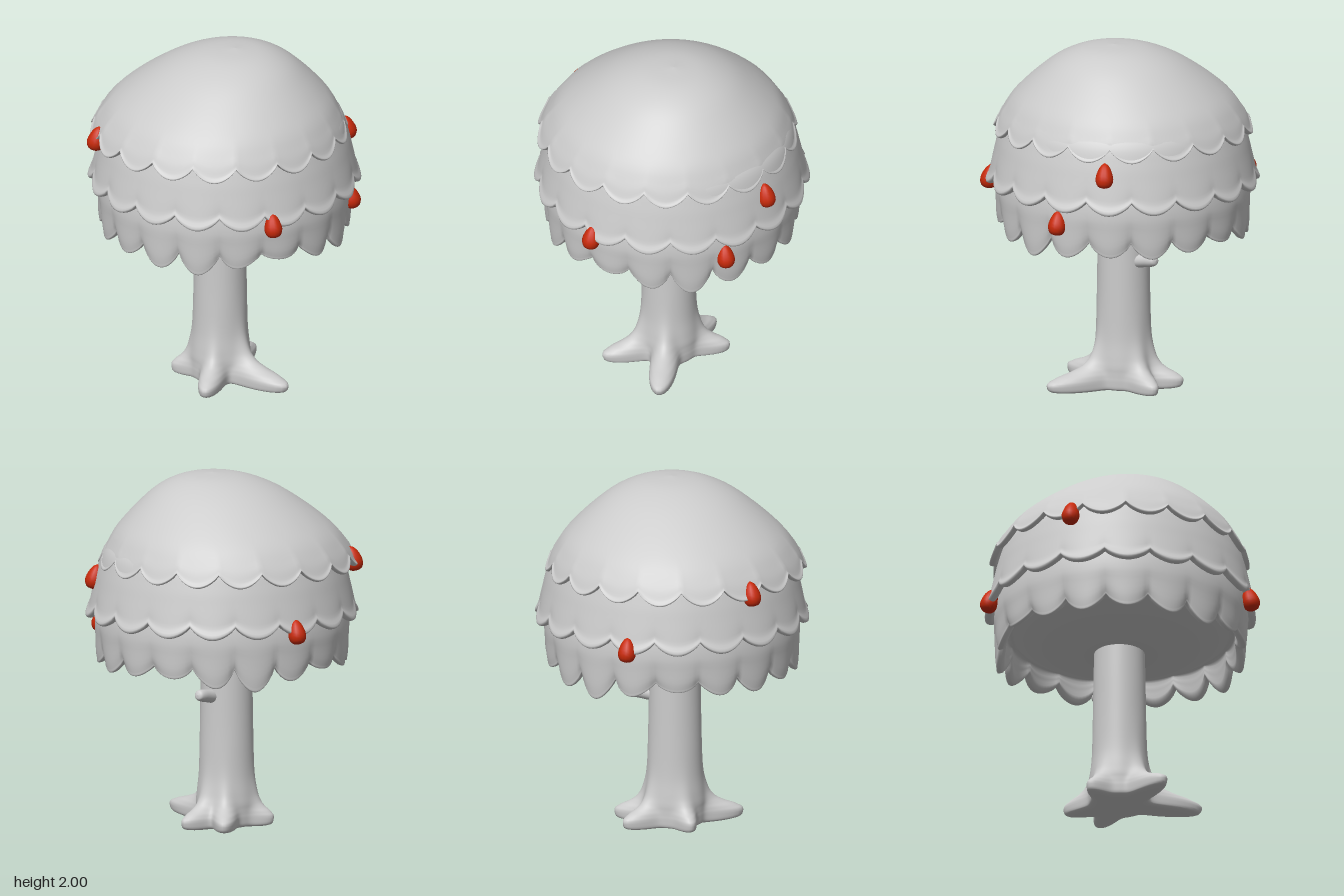
import * as THREE from 'three';

const grey = new THREE.MeshStandardMaterial({ color: 0xcccccc });
const red = new THREE.MeshStandardMaterial({ color: 0xc82a0a });

// Smooth surface of closed rings; place(t, angle) gives a point, t runs from top to bottom
function loft(rows, cols, place) {
  const pos = [], index = [];
  for (let i = 0; i <= rows; i++) {
    for (let j = 0; j < cols; j++) {
      pos.push(...place(i / rows, (j / cols) * Math.PI * 2));
      if (i === rows) continue;
      const a = i * cols + j, b = i * cols + ((j + 1) % cols);
      index.push(a, b, a + cols, b, b + cols, a + cols);
    }
  }
  const geo = new THREE.BufferGeometry();
  geo.setAttribute('position', new THREE.Float32BufferAttribute(pos, 3));
  geo.setIndex(index);
  geo.computeVertexNormals();
  return geo;
}

function mesh(name, geo, material = grey) {
  const m = new THREE.Mesh(geo, material);
  m.name = name;
  return m;
}

const curve = (points) =>
  new THREE.CatmullRomCurve3(points.map((p) => new THREE.Vector3(...p)), false, 'centripetal');

// Foliage tier with a scalloped hem: profile points are [radius, height, hem weight]
function tier(name, { profile, rows, phase, depth, vary = 0, shift = () => [0, 0] }) {
  const path = curve(profile);
  const geo = loft(rows, 216, (t, a) => {
    const p = path.getPoint(t);
    const lobe = Math.pow(Math.abs(Math.sin(9 * a + phase)), 0.8);
    const d = depth + vary * (Math.sin(2.3 + 3 * a) * 0.5 + Math.sin(5 * a + 1) * 0.5);
    const r = Math.max(p.x, 0) * (1 + p.z * (0.035 * lobe - 0.02));
    const [sx, sz] = shift(p.y);
    return [r * Math.cos(a) + sx, p.y - p.z * d * lobe, r * Math.sin(a) * 1.01 + sz];
  });
  const m = mesh(name, geo);
  m.material = grey.clone();
  m.material.side = THREE.DoubleSide;
  return m;
}

// Trunk flaring into root lobes: roots are tip positions [x, z]
function trunk() {
  const cx = -0.02, cz = 0.015;
  const roots = [[0.44, 0.15], [0.04, 0.4], [-0.28, 0.1], [0.05, -0.32], [-0.2, -0.28]]
    .map(([x, z]) => ({ angle: Math.atan2(z - cz, x - cx), len: Math.hypot(x - cx, z - cz) }));
  // [core radius, height, root flare]
  const path = curve([
    [0.14, 1.02, 0], [0.145, 0.8, 0], [0.15, 0.5, 0], [0.155, 0.3, 0.03], [0.165, 0.2, 0.11],
    [0.17, 0.15, 0.24], [0.17, 0.115, 0.5], [0.17, 0.085, 0.84], [0.17, 0.055, 1],
    [0.168, 0.028, 0.98], [0.155, 0.01, 0.86], [0.08, 0.003, 0.4], [0, 0, 0],
  ]);
  return loft(60, 144, (t, a) => {
    const p = path.getPoint(t);
    let r = p.x;
    for (const { angle, len } of roots) {
      const d = Math.atan2(Math.sin(a - angle), Math.cos(a - angle));
      r += p.z * (len - 0.17) * Math.exp(-((d / 0.27) ** 2));
    }
    return [cx + r * Math.cos(a), Math.max(p.y, 0), cz + r * Math.sin(a)];
  });
}

export function createModel() {
  const tree = new THREE.Group();
  tree.name = 'tree';
  tree.add(mesh('trunk', trunk()));

  // Short branch stub at the back of the trunk
  const stub = curve([[0.04, 0, 0], [0.036, 0.08, 0], [0.033, 0.14, 0], [0.024, 0.165, 0], [0, 0.173, 0]]);
  const branch = mesh('branchStub',
    new THREE.LatheGeometry(stub.getPoints(16).map((p) => new THREE.Vector2(Math.max(p.x, 0), p.y)), 20));
  branch.position.set(-0.01, 0.745, -0.09);
  branch.rotation.x = -Math.PI / 2 + 0.2;
  tree.add(branch);

  // Three overlapping tiers of foliage
  tree.add(tier('topFoliage', {
    profile: [
      [0, 2, 0], [0.18, 1.98, 0], [0.33, 1.92, 0], [0.47, 1.82, 0], [0.59, 1.71, 0], [0.665, 1.62, 0.3],
      [0.7, 1.57, 0.8], [0.71, 1.555, 1], [0.695, 1.55, 1], [0.66, 1.58, 0.7], [0.6, 1.62, 0],
    ],
    rows: 44, phase: 0, depth: 0.07,
    shift: (y) => {
      const k = THREE.MathUtils.clamp((y - 1.5) / 0.5, 0, 1);
      return [-0.025 + 0.09 * k * k, 0.025 * (1 - k)];
    },
  }));
  tree.add(tier('middleFoliage', {
    profile: [
      [0.58, 1.66, 0], [0.655, 1.58, 0], [0.69, 1.48, 0], [0.715, 1.38, 0.1], [0.735, 1.3, 0.6],
      [0.745, 1.265, 1], [0.73, 1.26, 1], [0.69, 1.29, 0.7], [0.62, 1.34, 0],
    ],
    rows: 36, phase: Math.PI / 2, depth: 0.065,
  }));
  tree.add(tier('lowerFoliage', {
    profile: [
      [0.62, 1.4, 0], [0.685, 1.3, 0], [0.705, 1.2, 0], [0.703, 1.1, 0.3], [0.69, 1.03, 0.9],
      [0.68, 1.015, 1], [0.66, 1.02, 1], [0.64, 1.06, 0.5], [0.61, 1.08, 0],
      [0.54, 1.04, 0], [0.4, 0.985, 0], [0.2, 0.945, 0], [0, 0.935, 0],
    ],
    rows: 48, phase: Math.PI / 2, depth: 0.085, vary: 0.045,
  }));

  // Teardrop fruits leaning against the foliage
  const drop = curve([[0, -0.07, 0], [0.034, -0.06, 0], [0.05, -0.025, 0], [0.04, 0.025, 0], [0.02, 0.06, 0], [0, 0.074, 0]]);
  const fruitGeo = new THREE.LatheGeometry(
    drop.getPoints(14).map((p) => new THREE.Vector2(Math.max(p.x, 0), p.y)), 14);
  const spots = [
    [0.56, 1.42, -0.44], [-0.6, 1.51, 0.42], [0.51, 1.21, 0.54], [0.685, 1.12, -0.19], [-0.69, 1.22, -0.28],
  ];
  for (const [x, y, z] of spots) {
    const fruit = mesh('fruit', fruitGeo, red);
    fruit.position.set(x, y, z);
    fruit.rotation.set(0, -Math.atan2(z, x), 0.25, 'YZX');
    tree.add(fruit);
  }
  return tree;
}
